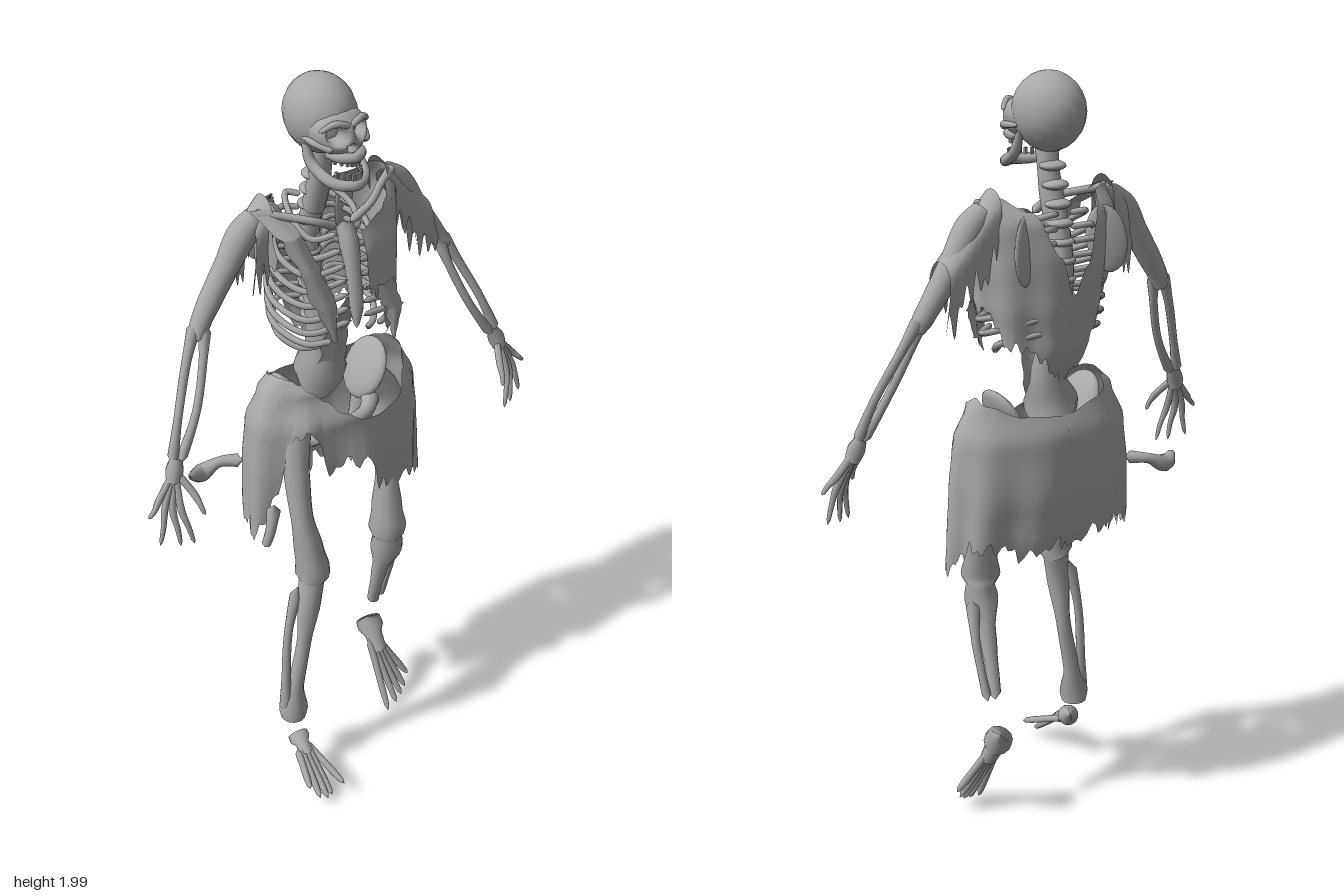
import * as THREE from 'three';

const bone = new THREE.MeshStandardMaterial({ color: 0xa8a8a8, side: THREE.DoubleSide });
bone.name = 'grey bone and cloth';

// smooth interpolation through [t, value, value...] rows
function key(rows, t, c = 1) {
  let i = 0;
  while (i < rows.length - 2 && t > rows[i + 1][0]) i++;
  const a = rows[i], b = rows[i + 1];
  const k = THREE.MathUtils.smoothstep(t, a[0], b[0]);
  return a[c] + (b[c] - a[c]) * k;
}
// torn hem: uneven teeth between 0 and 1
const jag = a => 0.5 + 0.3 * Math.sin(a * 1.0) * Math.sin(a * 0.37 + 1) + 0.2 * Math.sin(a * 2.3 + 0.7);

function add(group, name, geometry) {
  const mesh = new THREE.Mesh(geometry, bone);
  mesh.name = name;
  group.add(mesh);
  return mesh;
}

// round bar through [x, y, z, radius] points, closed at both ends
function limb(group, name, pts, sides = 10, steps = 5) {
  const curve = new THREE.CatmullRomCurve3(pts.map(p => new THREE.Vector3(p[0], p[1], p[2])));
  curve.getPointAt = curve.getPoint;
  curve.getTangentAt = curve.getTangent;
  const n = (pts.length - 1) * steps;
  const g = new THREE.TubeGeometry(curve, n, 1, sides, false);
  const rows = pts.map((p, i) => [i / (pts.length - 1), p[3]]);
  const pos = g.attributes.position, v = new THREE.Vector3(), c = new THREE.Vector3();
  for (let i = 0; i < pos.count; i++) {
    const ring = Math.floor(i / (sides + 1));
    curve.getPoint(ring / n, c);
    const r = ring === 0 || ring === n ? 0.0005 : key(rows, ring / n);
    v.fromBufferAttribute(pos, i).sub(c).multiplyScalar(r).add(c);
    pos.setXYZ(i, v.x, v.y, v.z);
  }
  return add(group, name, g);
}

// thin sheet given by a rule (u, v) -> [x, y, z]
function sheet(group, name, fn, nu = 60, nv = 12) {
  const g = new THREE.PlaneGeometry(1, 1, nu, nv), p = g.attributes.position;
  for (let i = 0; i < p.count; i++) p.setXYZ(i, ...fn(p.getX(i) + 0.5, 0.5 - p.getY(i)));
  g.computeVertexNormals();
  return add(group, name, g);
}

// cloth wrapped round the body: edges rows [degrees, top, bottom], shape rows [y, rx, rz, cz]
function wrap(group, name, edges, shape, cx, tear, fold) {
  const a0 = edges[0][0], a1 = edges[edges.length - 1][0];
  return sheet(group, name, (u, v) => {
    const d = a0 + (a1 - a0) * u, a = d * Math.PI / 180;
    const top = key(edges, d, 1), bottom = key(edges, d, 2) + tear * jag(d * 0.3);
    const y = top + (bottom - top) * v;
    const ripple = fold * v * Math.sin(a * 9 + 1);
    const x = cx + (key(shape, y, 1) + ripple) * Math.sin(a);
    return [x, y, key(shape, y, 3) + (key(shape, y, 2) + ripple) * Math.cos(a)];
  }, 150, 16);
}

function ball(group, name, p, r) {
  const m = add(group, name, new THREE.SphereGeometry(1, 18, 12));
  m.position.set(...p);
  m.scale.set(...r);
  return m;
}

function makeSkull() {
  const s = new THREE.Group();
  s.name = 'skull';
  ball(s, 'cranium', [-0.004, 1.903, -0.122], [0.086, 0.097, 0.1]);
  // face with eye sockets and nose pressed in
  const g = new THREE.SphereGeometry(1, 56, 44), p = g.attributes.position;
  const dents = [[0.034, 1.892, 0.021, 0.045], [-0.034, 1.892, 0.021, 0.045], [0, 1.857, 0.012, 0.025]];
  for (let i = 0; i < p.count; i++) {
    let y = p.getY(i), x = p.getX(i) * (0.07 + 0.012 * y);
    let z = p.getZ(i);
    z = -0.065 + Math.sign(z) * Math.pow(Math.abs(z), 0.7) * (0.074 - 0.01 * y);
    y = 1.882 + y * 0.06;
    if (z > -0.06) for (const [dx, dy, r, depth] of dents) {
      const d = Math.hypot(x - dx, y - dy) / r;
      if (d < 1.2) z -= depth * (1 - THREE.MathUtils.smoothstep(d, 0.5, 1.2));
    }
    p.setXYZ(i, x - 0.003, y, z);
  }
  g.computeVertexNormals();
  add(s, 'face', g);
  limb(s, 'upperJaw', [[-0.042, 1.838, -0.05, 0.012], [-0.028, 1.838, -0.002, 0.013], [0, 1.838, 0.015, 0.013],
    [0.028, 1.838, -0.002, 0.013], [0.042, 1.838, -0.05, 0.012]]);
  limb(s, 'lowerJaw', [[-0.066, 1.86, -0.1, 0.009], [-0.063, 1.805, -0.075, 0.014], [-0.044, 1.773, -0.01, 0.014],
    [0, 1.769, 0.02, 0.014], [0.044, 1.773, -0.01, 0.014], [0.063, 1.805, -0.075, 0.014], [0.066, 1.86, -0.1, 0.009]]);
  for (const side of [-1, 1]) {
    limb(s, 'cheekBone', [[side * 0.075, 1.872, -0.1, 0.006], [side * 0.07, 1.868, -0.05, 0.009], [side * 0.045, 1.86, -0.008, 0.012]]);
    limb(s, 'brow', [[side * 0.07, 1.9, -0.035, 0.006], [side * 0.038, 1.922, -0.012, 0.009], [0, 1.91, -0.004, 0.008]]);
  }
  for (let i = -4; i <= 4; i++) for (const [y, z] of [[1.824, 0.014], [1.79, 0.02]]) {
    const t = add(s, 'tooth', new THREE.BoxGeometry(0.007, 0.016, 0.007));
    t.position.set(i * 0.0085, y, z - i * i * 0.0022);
  }
  return s;
}

function makeTorso() {
  const t = new THREE.Group();
  t.name = 'torso';
  limb(t, 'neck', [[0, 1.86, -0.115, 0.03], [0, 1.77, -0.125, 0.027], [0, 1.7, -0.14, 0.03], [0, 1.62, -0.165, 0.03]]);
  limb(t, 'spine', [[0, 1.65, -0.165, 0.028], [0, 1.5, -0.185, 0.028], [0.005, 1.35, -0.155, 0.036],
    [0.008, 1.25, -0.14, 0.045], [0, 1.18, -0.14, 0.07], [0, 1.08, -0.16, 0.04]], 12);
  for (let i = 0; i < 13; i++) ball(t, 'vertebra', [0, 1.82 - i * 0.045, -0.13 - 0.055 * Math.sin(i / 12 * 2.6)], [0.034, 0.013, 0.033]);
  limb(t, 'breastBone', [[0, 1.65, -0.035, 0.022], [0, 1.6, -0.012, 0.025], [0, 1.52, 0.006, 0.019], [0.002, 1.44, 0.016, 0.018], [0.003, 1.37, 0.016, 0.007]]);
  for (const s of [-1, 1]) {
    for (let i = 0; i < 9; i++) {
      const y = 1.665 - i * 0.036, w = [0.085, 0.115, 0.135, 0.15, 0.157, 0.162, 0.162, 0.158, 0.145][i];
      const front = [-0.035, -0.015, 0, 0.008, 0.015, 0.02, 0.024, 0.015, -0.03][i], e = i > 6 ? 0.07 : 0.018;
      limb(t, 'rib', [[s * 0.02, y, -0.185, 0.008], [s * w * 0.6, y + 0.005, -0.205, 0.008], [s * w, y - 0.03, -0.12, 0.0085],
        [s * w * 0.8, y - 0.06, front - 0.035, 0.0085], [s * e, y - 0.045 - (i > 6 ? 0.01 : 0), front, 0.008]], 7, 6);
    }
    limb(t, 'collarBone', [[s * 0.02, 1.64, -0.035, 0.012], [s * 0.08, 1.672, -0.035, 0.01], [s * 0.15, 1.69, -0.08, 0.01], [s * 0.21, 1.7, -0.115, 0.013]]);
    const blade = ball(t, 'shoulderBlade', [s * 0.125, 1.59, -0.2], [0.052, 0.085, 0.012]);
    blade.rotation.set(0.08, s * 0.45, s * 0.15);
  }
  // torn shirt: left chest, round the left side, across the back to the right shoulder
  wrap(t, 'shirt', [[6, 1.63, 1.45], [25, 1.655, 1.42], [38, 1.67, 1.28], [52, 1.69, 1.3], [66, 1.7, 1.4], [90, 1.71, 1.42],
    [120, 1.715, 1.33], [150, 1.68, 1.3], [168, 1.57, 1.24], [180, 1.47, 1.2], [192, 1.54, 1.25], [208, 1.67, 1.35],
    [225, 1.71, 1.44], [250, 1.715, 1.5], [275, 1.715, 1.52], [292, 1.69, 1.56]],
    [[1.22, 0.12, 0.085, -0.1], [1.35, 0.165, 0.13, -0.095], [1.46, 0.182, 0.138, -0.1], [1.56, 0.192, 0.134, -0.107],
      [1.65, 0.2, 0.115, -0.115], [1.72, 0.185, 0.05, -0.12]], 0.005, 0.05, 0.006);
  // strap over the right ribs and a rag under the breast bone
  const rag = (name, rows) => sheet(t, name, (u, v) => {
    const w = key(rows, v, 4) * (0.75 + 0.5 * jag(v * 17 + u * 3));
    return [key(rows, v, 1) + (u - 0.5) * w, key(rows, v, 2), key(rows, v, 3) - Math.abs(u - 0.5) * w * 0.4];
  }, 6, 30);
  rag('shirtStrap', [[0, -0.185, 1.71, -0.1, 0.06], [0.25, -0.15, 1.65, -0.025, 0.06], [0.5, -0.12, 1.56, 0.005, 0.055],
    [0.75, -0.085, 1.46, 0.025, 0.06], [1, -0.07, 1.36, 0.03, 0.01]]);
  rag('hangingRag', [[0, 0.075, 1.48, 0.035, 0.08], [0.5, 0.11, 1.4, 0.04, 0.05], [1, 0.1, 1.32, 0.045, 0.01]]);
  rag('waistRag', [[0, 0.012, 1.46, 0.012, 0.05], [0.5, 0.008, 1.32, -0.06, 0.07], [1, 0.01, 1.17, -0.09, 0.1]]);
  return t;
}

function makeArm(s) {
  const a = new THREE.Group();
  a.name = s > 0 ? 'leftArm' : 'rightArm';
  const L = rows => rows.map(([x, y, z, r]) => [s * x, y, z, r]);
  limb(a, 'upperArm', L([[0.185, 1.69, -0.125, 0.03], [0.235, 1.645, -0.125, 0.038], [0.285, 1.57, -0.125, 0.032],
    [0.325, 1.51, -0.125, 0.03], [0.365, 1.45, -0.12, 0.026], [0.385, 1.41, -0.112, 0.018]]), 12);
  limb(a, 'outerForearm', L([[0.375, 1.46, -0.125, 0.018], [0.425, 1.36, -0.1, 0.012], [0.475, 1.25, -0.065, 0.011], [0.515, 1.14, -0.04, 0.015]]));
  limb(a, 'innerForearm', L([[0.358, 1.45, -0.11, 0.017], [0.385, 1.36, -0.085, 0.011], [0.43, 1.25, -0.055, 0.011], [0.498, 1.135, -0.035, 0.014]]));
  limb(a, 'wrist', L([[0.5, 1.155, -0.042, 0.016], [0.512, 1.125, -0.035, 0.023], [0.523, 1.09, -0.028, 0.018]]));
  // thumb and four fingers
  for (const [kx, ky, kz, tx, ty, tz] of [[0.488, 1.07, 0.015, 0.478, 1.02, 0.042], [0.522, 1.03, 0.004, 0.503, 0.93, 0.025],
    [0.54, 1.03, -0.008, 0.535, 0.93, 0.012], [0.556, 1.04, -0.018, 0.582, 0.94, -0.008], [0.568, 1.06, -0.026, 0.602, 1.025, -0.02]])
    limb(a, 'finger', L([[0.512, 1.125, -0.034, 0.01], [kx, ky, kz, 0.0095], [(kx + tx) / 2, (ky + ty) / 2, (kz + tz) / 2 + 0.004, 0.007], [tx, ty, tz, 0.005]]), 7, 4);
  // torn sleeve draped over the arm
  const len = s > 0 ? 0.15 : 0.05, drop = s > 0 ? 0.12 : 0.15;
  sheet(a, 'tornSleeve', (u, v) => {
    const w = v * 2 - 1, k = Math.min(1, Math.abs(w) * 2), fall = Math.max(0, Math.abs(w) - 0.4);
    const ang = k * Math.PI / 2, hang = fall * drop * (0.6 + 1.6 * jag(u * (s > 0 ? 16 : 7) + Math.sign(w) * 2));
    return [s * (0.17 + u * len + fall * 0.03), 1.735 - u * len * 1.05 - (1 - Math.cos(ang)) * 0.055 - hang,
      -0.125 + Math.sign(w) * Math.sin(ang) * 0.045];
  }, 36, 30);
  return a;
}

function makeHips() {
  const h = new THREE.Group();
  h.name = 'hips';
  for (const s of [-1, 1]) {
    const wing = ball(h, 'hipBone', [s * 0.115, 1.15, -0.1], [0.022, 0.085, 0.075]);
    wing.rotation.z = -s * 0.5;
    limb(h, 'pubicBone', [[s * 0.12, 1.1, -0.08, 0.03], [s * 0.07, 1.07, -0.03, 0.02], [0, 1.06, -0.02, 0.018]]);
    limb(h, 'seatBone', [[s * 0.11, 1.09, -0.1, 0.03], [s * 0.085, 1.0, -0.1, 0.022], [s * 0.04, 1.02, -0.05, 0.014], [0, 1.05, -0.02, 0.014]]);
  }
  // ragged skirt, open above the right thigh
  wrap(h, 'skirt', [[-180, 1.16, 0.78], [-150, 1.18, 0.8], [-120, 1.22, 0.79], [-90, 1.235, 0.74], [-72, 1.235, 0.77], [-58, 1.23, 0.88],
    [-46, 1.22, 1.06], [-32, 1.2, 1.07], [-22, 1.17, 0.93], [-10, 1.13, 0.96], [4, 1.095, 0.93], [14, 1.09, 0.83], [30, 1.1, 0.79],
    [50, 1.15, 0.8], [72, 1.2, 0.73], [90, 1.215, 0.75], [120, 1.2, 0.81], [150, 1.17, 0.78], [180, 1.16, 0.78]],
    [[0.74, 0.275, 0.1, -0.09], [0.86, 0.27, 0.128, -0.095], [0.97, 0.265, 0.138, -0.097], [1.1, 0.255, 0.13, -0.098],
      [1.19, 0.22, 0.098, -0.1], [1.24, 0.175, 0.075, -0.1]], 0.004, 0.07, 0.009);
  // loose scrap at the right hip
  limb(h, 'skirtScrap', [[-0.25, 0.98, -0.14, 0.018], [-0.3, 0.975, -0.175, 0.014], [-0.35, 0.955, -0.185, 0.024], [-0.395, 0.975, -0.165, 0.01]]);
  limb(h, 'skirtTatter', [[-0.235, 0.9, -0.02, 0.02], [-0.255, 0.83, -0.01, 0.014], [-0.27, 0.78, -0.015, 0.012]]);
  return h;
}

function makeLegs() {
  const l = new THREE.Group();
  l.name = 'legs';
  limb(l, 'rightThigh', [[-0.115, 1.14, -0.07, 0.04], [-0.15, 1.08, -0.045, 0.045], [-0.165, 0.97, -0.015, 0.034], [-0.17, 0.85, 0.012, 0.03],
    [-0.165, 0.75, 0.035, 0.04], [-0.163, 0.69, 0.045, 0.048], [-0.17, 0.65, 0.04, 0.03]], 12);
  limb(l, 'rightShin', [[-0.165, 0.67, 0.045, 0.035], [-0.178, 0.6, 0.052, 0.032], [-0.195, 0.45, 0.045, 0.02], [-0.222, 0.31, 0.043, 0.022],
    [-0.234, 0.23, 0.045, 0.04], [-0.236, 0.195, 0.045, 0.034]], 12);
  limb(l, 'rightCalfBone', [[-0.2, 0.64, 0.03, 0.018], [-0.23, 0.5, 0.025, 0.012], [-0.247, 0.35, 0.032, 0.013], [-0.257, 0.22, 0.042, 0.02]]);
  limb(l, 'leftThigh', [[0.115, 1.14, -0.07, 0.04], [0.15, 1.08, -0.06, 0.045], [0.145, 0.97, -0.045, 0.033], [0.13, 0.85, -0.02, 0.03],
    [0.118, 0.75, 0, 0.042], [0.113, 0.69, 0.01, 0.052], [0.115, 0.65, 0.005, 0.035]], 12);
  limb(l, 'leftShin', [[0.115, 0.68, 0.012, 0.035], [0.115, 0.62, 0.005, 0.045], [0.115, 0.53, -0.02, 0.024], [0.118, 0.44, -0.045, 0.018], [0.125, 0.355, -0.07, 0.017]], 12);
  limb(l, 'leftCalfBone', [[0.15, 0.63, -0.005, 0.02], [0.16, 0.53, -0.03, 0.012], [0.157, 0.44, -0.052, 0.011], [0.153, 0.36, -0.075, 0.012]]);
  return l;
}

// loose foot: heel bone, instep and five toes
function makeFoot(name, heel, mid, toes, r) {
  const f = new THREE.Group();
  f.name = name;
  limb(f, 'heel', [[...heel, r], [...heel.map((h, i) => h * 0.75 + mid[i] * 0.25), r * 1.05], [...heel.map((h, i) => (h + mid[i]) / 2), r * 0.7], [...mid, r * 0.6]], 12);
  toes.forEach((toe, i) => {
    const o = (i - 2) * 0.012, at = (k, j) => mid[j] + (toe[j] - mid[j]) * k + (j ? 0 : o * (1 - k));
    const row = (k, w) => [at(k, 0), at(k, 1), at(k, 2), w];
    limb(f, 'toe', [row(-0.35, 0.011), row(0.2, 0.01), row(0.6, 0.01), row(1, 0.007)], 7, 4);
  });
  return f;
}

export function createModel() {
  const model = new THREE.Group();
  model.name = 'skeleton';
  model.add(makeSkull(), makeTorso(), makeArm(1), makeArm(-1), makeHips(), makeLegs());
  model.add(makeFoot('rightFoot', [-0.235, 0.145, 0.06], [-0.243, 0.11, 0.125],
    [[-0.288, 0.07, 0.2], [-0.272, 0.045, 0.225], [-0.25, 0.035, 0.23], [-0.233, 0.035, 0.225], [-0.198, 0.065, 0.235]], 0.028));
  model.add(makeFoot('leftFoot', [0.133, 0.265, -0.105], [0.137, 0.165, -0.045],
    [[0.108, 0.012, 0.035], [0.142, 0.02, 0.03], [0.168, 0.03, 0.02], [0.188, 0.045, 0.01], [0.208, 0.075, -0.005]], 0.036));
  return model;
}
